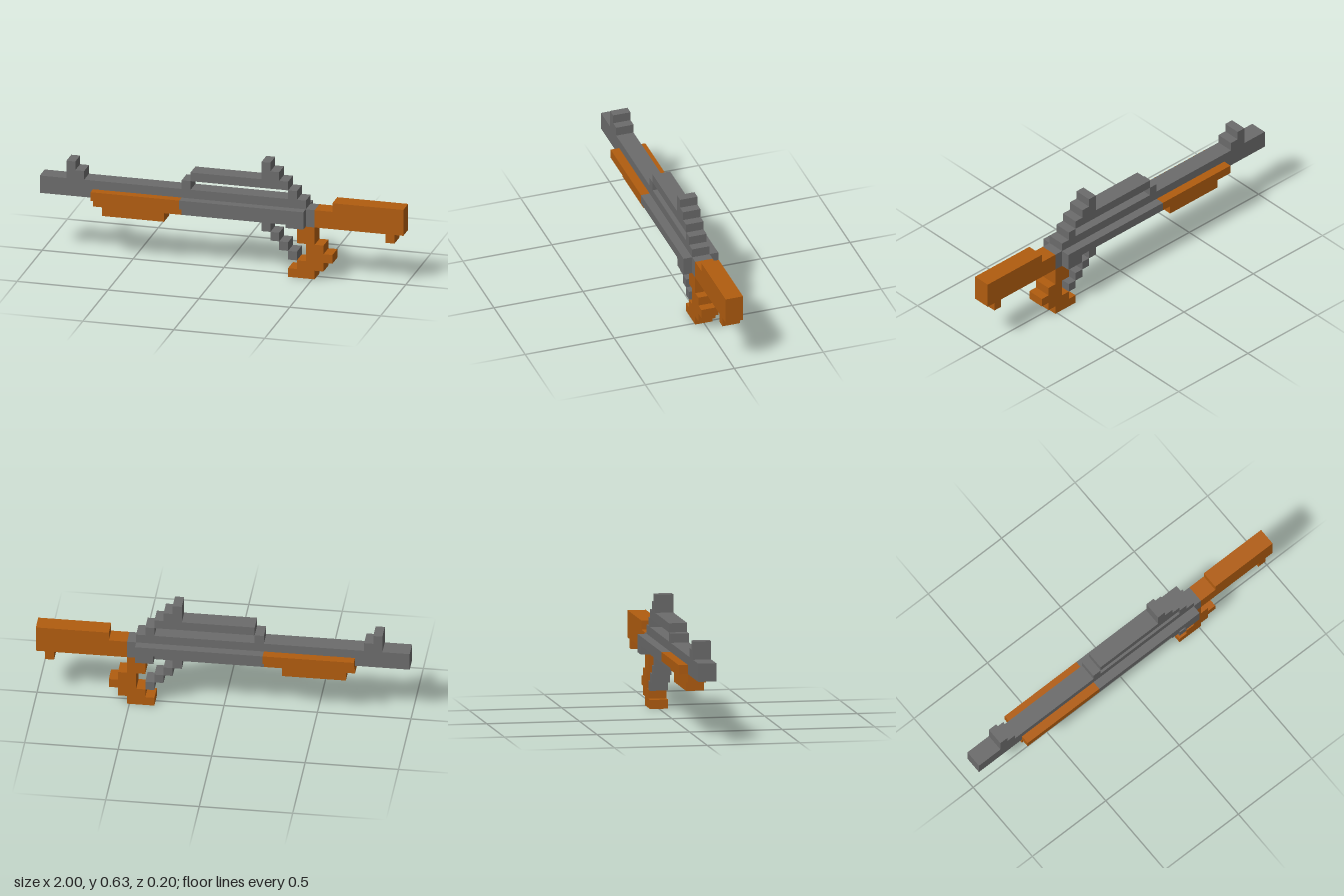
import * as THREE from 'three';

const U = 2 / 41; // one block

export function createModel() {
  const model = new THREE.Group();
  const metal = new THREE.MeshStandardMaterial({ name: 'greyMetal', color: 0x6b6b6b });
  const wood = new THREE.MeshStandardMaterial({ name: 'orangeWood', color: 0xb05c0f });

  // Block given by its edges, in block units: x from the muzzle, y from the base
  const block = (parent, material, x0, x1, y0, y1, z0 = -1, z1 = 1) => {
    const geometry = new THREE.BoxGeometry((x1 - x0) * U, (y1 - y0) * U, (z1 - z0) * U);
    const mesh = new THREE.Mesh(geometry, material);
    mesh.position.set((x0 + x1) / 2 * U - 1, (y0 + y1) / 2 * U, (z0 + z1) / 2 * U);
    mesh.name = parent.name + 'Block';
    parent.add(mesh);
  };
  const part = (name, material, blocks) => {
    const group = new THREE.Group();
    group.name = name;
    blocks.forEach((b) => block(group, material, ...b));
    model.add(group);
  };
  // The same block on both sides of the core
  const bothSides = (...b) => [[...b, 1, 2], [...b, -2, -1]];

  // Barrel and receiver
  part('barrel', metal, [[0, 30, 7, 9]]);
  part('receiver', metal, [
    [16, 30, 6, 7],
    [30, 31, 6, 8],
    ...bothSides(16, 30, 7, 8),
    ...bothSides(28, 30, 6, 7),
  ]);

  // Sights and the raised carrying rail
  part('frontSight', metal, [[3, 4, 9, 11], [4, 5, 9, 10]]);
  part('carryRail', metal, [[16, 17, 9, 10], [17, 28, 10, 11], [28, 29, 9, 10]]);
  part('rearSight', metal, [[25, 26, 11, 13], [26, 27, 11, 12]]);

  // Wooden fore-end
  part('foreEnd', wood, [
    [6, 16, 6, 7],
    [7, 14, 5, 6],
    ...bothSides(6, 16, 7, 8),
  ]);

  // Stepped trigger guard, running diagonally down to the grip
  part('triggerGuard', metal, [0, 1, 2, 3].map((i) => [25 + i, 26 + i, 5 - i, 6 - i]));

  // Grip and stock
  part('grip', wood, [
    [29, 31, 4, 6],
    [30, 32, 3, 4],
    [30, 33, 2, 3],
    [29, 32, 1, 2],
    [28, 31, 0, 1],
  ]);
  part('stock', wood, [[31, 33, 6, 8], [33, 41, 6, 9], [39, 40, 5, 6]]);

  return model;
}
